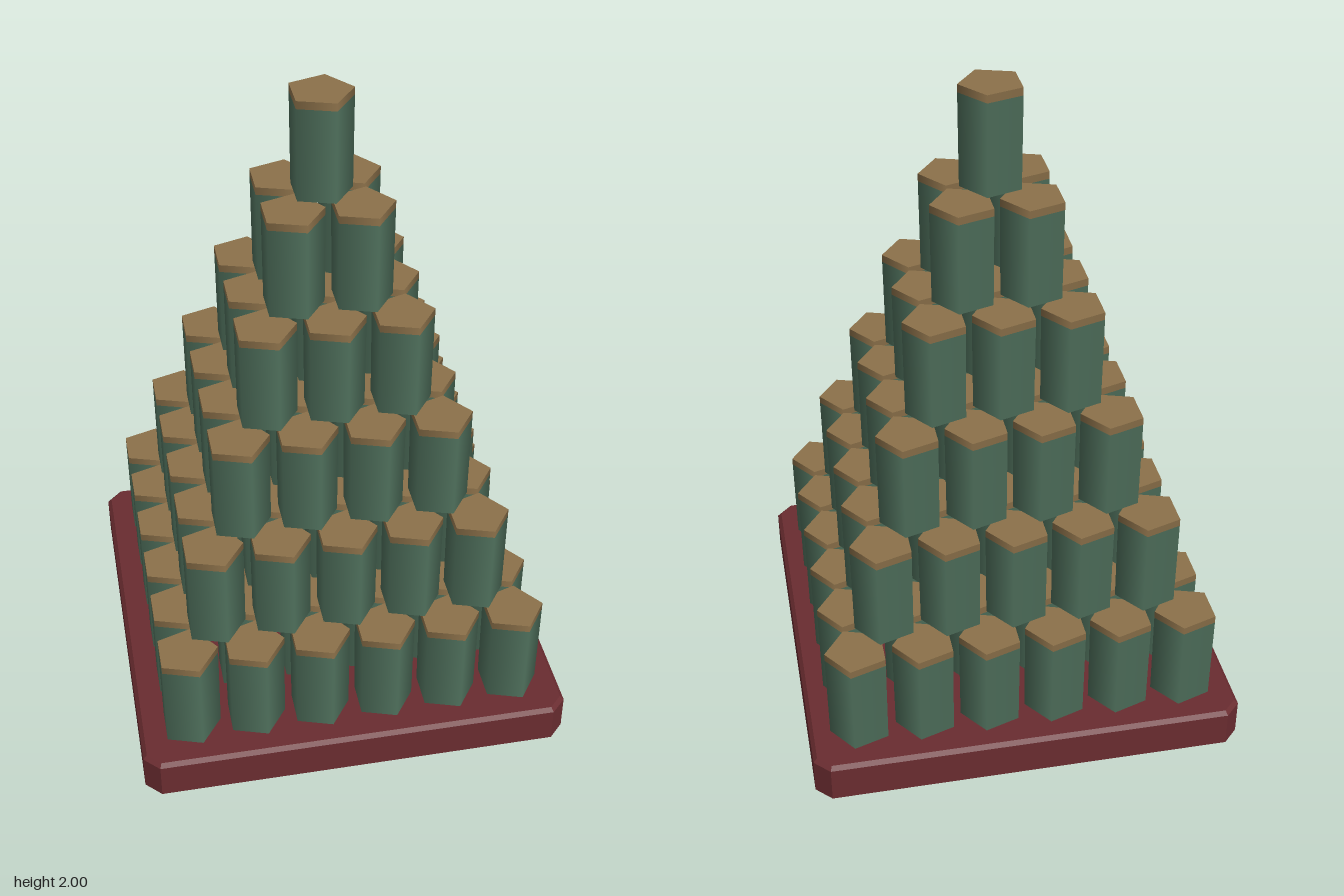
import * as THREE from 'three';

export function createModel() {
  const model = new THREE.Group();
  model.name = 'stackedPyramid';

  const mat = (name, hex) => {
    const m = new THREE.MeshStandardMaterial({ color: hex });
    m.name = name;
    return m;
  };
  const red = mat('darkRed', 0x6a2c30);
  const green = mat('mossGreen', 0x4f705c);
  const tan = mat('tan', 0x8c714a);

  // Base: square slab with cut corners and a small bevel
  const baseTop = 0.137, bevel = 0.012, half = 0.665 - bevel, cut = 0.04;
  const outline = new THREE.Shape([
    [half - cut, -half], [half, -half + cut], [half, half - cut], [half - cut, half],
    [-half + cut, half], [-half, half - cut], [-half, -half + cut], [-half + cut, -half],
  ].map(([x, y]) => new THREE.Vector2(x, y)));
  const baseGeo = new THREE.ExtrudeGeometry(outline, {
    depth: baseTop - 2 * bevel, bevelEnabled: true,
    bevelSize: bevel, bevelThickness: bevel, bevelSegments: 1,
  });
  baseGeo.rotateX(-Math.PI / 2).translate(0, bevel, 0);
  const base = new THREE.Mesh(baseGeo, red);
  base.name = 'base';
  model.add(base);

  // Five-sided block: body plus thin cap, one corner pointing to +x
  const layers = 6, pitch = 0.2025, radius = 0.097, capH = 0.024;
  const layerH = (2 - baseTop) / layers;
  const bodyH = layerH - capH;
  const bodyGeo = new THREE.CylinderGeometry(radius, radius - 0.002, bodyH, 5)
    .rotateY(Math.PI / 2).translate(0, bodyH / 2, 0);
  const capGeo = new THREE.CylinderGeometry(radius, radius, capH, 5)
    .rotateY(Math.PI / 2).translate(0, bodyH + capH / 2, 0);

  // Square layers shrinking from 6 x 6 to a single block
  for (let level = 0; level < layers; level++) {
    const n = layers - level;
    const layer = new THREE.Group();
    layer.name = `layer${level + 1}`;
    layer.position.y = baseTop + level * layerH;
    for (let i = 0; i < n; i++) {
      for (let j = 0; j < n; j++) {
        const block = new THREE.Group();
        block.name = 'block';
        const body = new THREE.Mesh(bodyGeo, green);
        body.name = 'body';
        const cap = new THREE.Mesh(capGeo, tan);
        cap.name = 'cap';
        block.add(body, cap);
        block.position.set((i - (n - 1) / 2) * pitch, 0, (j - (n - 1) / 2) * pitch);
        layer.add(block);
      }
    }
    model.add(layer);
  }
  return model;
}
